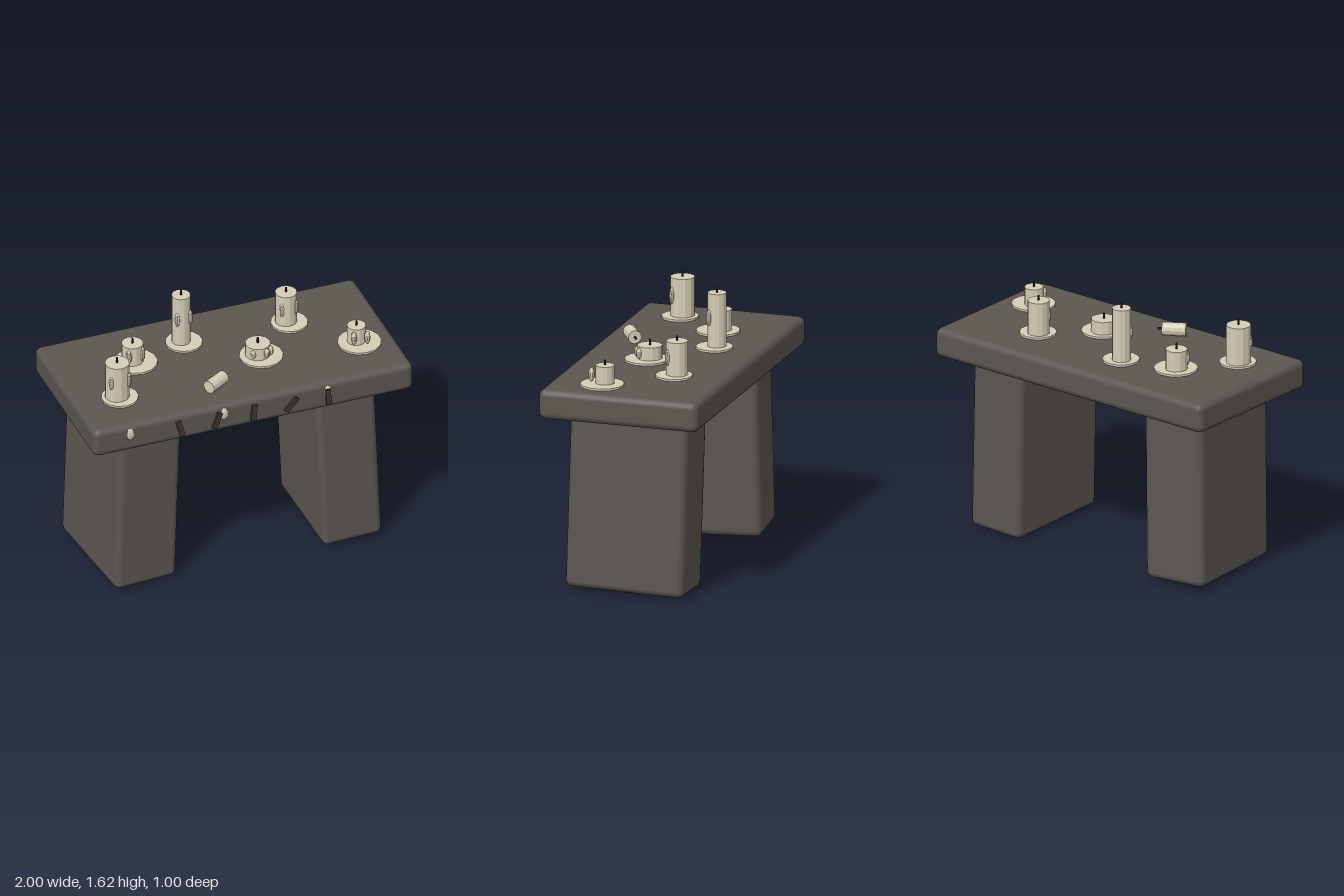
import * as THREE from 'three';
import { RoundedBoxGeometry } from 'three/addons/geometries/RoundedBoxGeometry.js';

function material(name, color, flatShading = false) {
  const m = new THREE.MeshStandardMaterial({ color, flatShading });
  m.name = name;
  return m;
}

export function createModel() {
  const model = new THREE.Group();
  model.name = 'stoneAltar';
  const stone = material('stone', 0x5b5650);
  const wax = material('wax', 0xd5cdb6, true);
  const char = material('charredWick', 0x26221f);
  const groove = material('darkCarving', 0x3a3733);

  function add(parent, name, geometry, mat, x, y, z) {
    const mesh = new THREE.Mesh(geometry, mat);
    mesh.name = name;
    mesh.position.set(x, y, z);
    parent.add(mesh);
    return mesh;
  }

  // Bevelled stone blocks: slab and two slightly leaning supports
  function block(name, [w, h, d], [x, y, z], [rx, ry, rz]) {
    const mesh = add(model, name, new RoundedBoxGeometry(w, h, d, 2, 0.04), stone, x, y, z);
    mesh.rotation.set(rx, ry, rz);
  }
  block('tableSlab', [2, 0.18, 0.98], [0, 1.16, -0.01], [0, 0, 0]);
  block('rightSupport', [0.4, 1.04, 0.72], [-0.645, 0.54, -0.005], [0.02, 0.1, -0.025]);
  block('leftSupport', [0.37, 1.06, 0.725], [0.645, 0.54, -0.005], [-0.02, 0, 0.036]);

  const TOP = 1.25;
  function drip(parent, name, x, y, z, rx, ry, rz) {
    add(parent, name, new THREE.SphereGeometry(1, 10, 8), wax, x, y, z).scale.set(rx, ry, rz);
  }

  // Candles: centre, radius, top, wick tip, wax pool [x, z, radius], drips [dx, dz]
  const candles = [
    [-0.74, 0.175, 0.073, 1.495, 1.53, [-0.727, 0.185, 0.11], [[-0.05, 0.04], [0.055, 0.045]]],
    [-0.525, -0.135, 0.065, 1.385, 1.42, [-0.51, -0.122, 0.13], [[-0.04, 0.048], [0.045, 0.045]]],
    [-0.186, -0.225, 0.056, 1.585, 1.615, [-0.172, -0.213, 0.11], [[-0.035, 0.035], [0.043, 0.035]]],
    [0.182, 0.065, 0.075, 1.34, 1.375, [0.198, 0.08, 0.13], [[-0.045, 0.05], [0.062, 0.046], [0.03, 0.068]]],
    [0.46, -0.197, 0.065, 1.465, 1.495, [0.475, -0.183, 0.11], [[-0.04, 0.04], [0.045, 0.04]]],
    [0.769, 0.142, 0.056, 1.37, 1.4, [0.783, 0.155, 0.13], [[-0.035, 0.05], [0.042, 0.07]]],
  ];
  candles.forEach(([x, z, r, top, tip, [px, pz, pr], drips], i) => {
    const candle = new THREE.Group();
    candle.name = `candle${i + 1}`;
    model.add(candle);
    add(candle, 'waxPool', new THREE.CylinderGeometry(pr, pr, 0.012, 14), wax, px, TOP + 0.006, pz);
    const h = top - TOP;
    add(candle, 'candleBody', new THREE.CylinderGeometry(r, r, h, 12), wax, x, TOP + h / 2, z);
    add(candle, 'wick', new THREE.CylinderGeometry(0.006, 0.006, tip - top + 0.01, 6), char, x, (top + tip) / 2 - 0.005, z);
    const ry = Math.min(0.05, h * 0.36);
    for (const [dx, dz] of drips) {
      drip(candle, 'waxDrip', x + dx, TOP + h * 0.56, z + dz, 0.018, ry, 0.018);
    }
  });

  // Toppled candle lying on the slab
  const fallen = new THREE.Group();
  fallen.name = 'fallenCandle';
  fallen.position.set(-0.165, TOP + 0.04, 0.29);
  fallen.rotation.y = 0.55;
  const body = add(fallen, 'candleBody', new THREE.CylinderGeometry(0.04, 0.04, 0.14, 12), wax, 0, 0, 0);
  const wick = add(fallen, 'wick', new THREE.CylinderGeometry(0.007, 0.007, 0.035, 6), char, 0.082, 0, 0);
  body.rotation.z = wick.rotation.z = -Math.PI / 2;
  model.add(fallen);

  // Wax runs and carved marks along the front edge
  for (const x of [-0.775, -0.188, 0.46]) {
    drip(model, 'edgeWaxDrip', x, 1.19, 0.475, 0.028, 0.04, 0.016);
  }
  const marks = [[-0.465, 0.27], [-0.235, -0.33], [-0.005, -0.1], [0.23, -0.72], [0.46, 0.08]];
  for (const [x, tilt] of marks) {
    const mark = add(model, 'carvedMark', new THREE.BoxGeometry(0.032, 0.105, 0.03), groove, x, 1.16, 0.482);
    mark.rotation.z = tilt;
  }

  return model;
}
